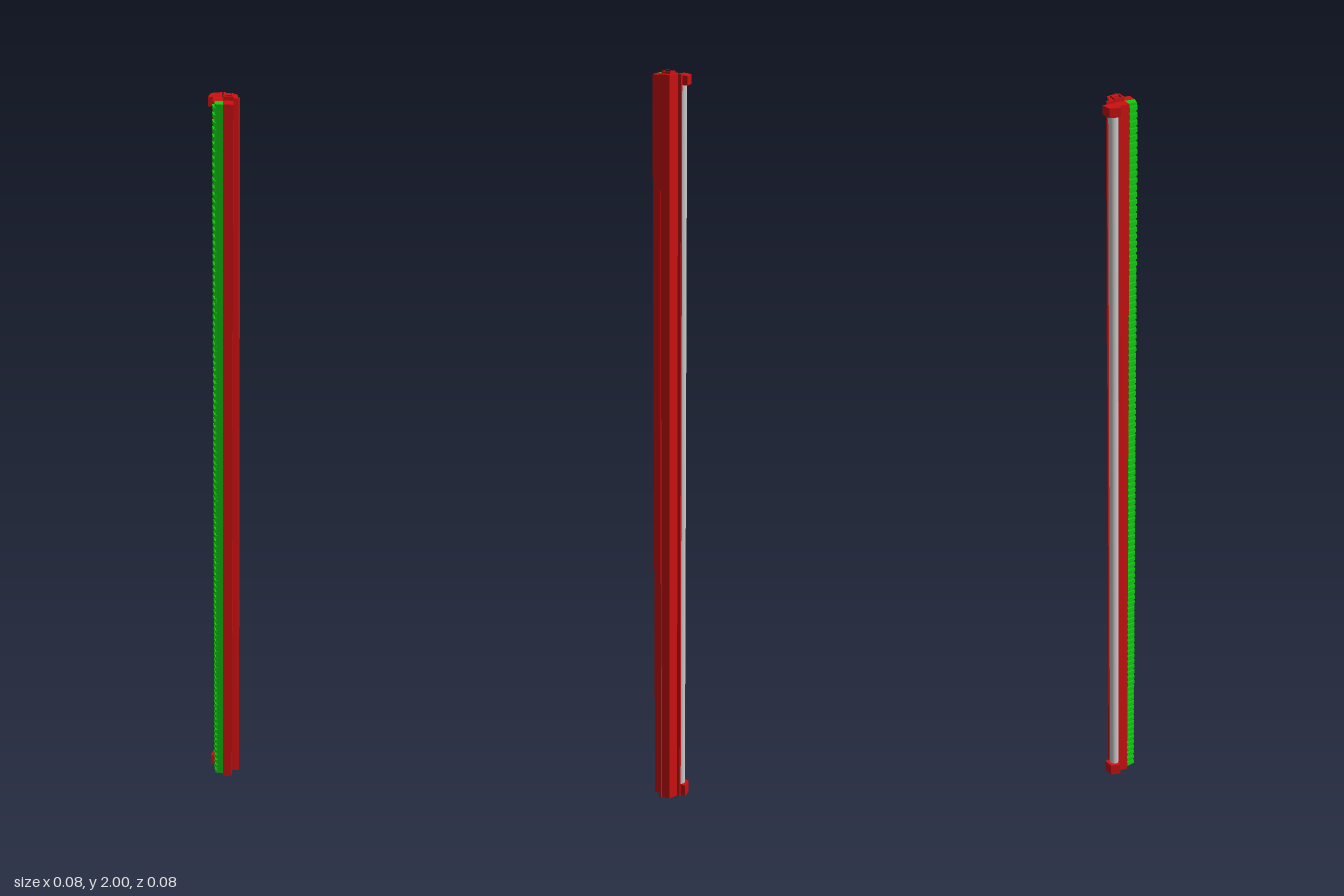
import * as THREE from 'three';
import { mergeGeometries } from 'three/addons/utils/BufferGeometryUtils.js';

const red = new THREE.MeshStandardMaterial({ color: 0xcc1111 });
const green = new THREE.MeshStandardMaterial({ color: 0x11cc11 });
const grey = new THREE.MeshStandardMaterial({ color: 0xcccccc });

// Vertical prism over a floor plan of [x, z] points, from y0 to y1
function prism(plan, y0, y1, hole) {
  const toShape = (pts) => pts.map(([x, z]) => new THREE.Vector2(x, -z));
  const shape = new THREE.Shape(toShape(plan));
  if (hole) shape.holes.push(new THREE.Path(toShape(hole)));
  const geo = new THREE.ExtrudeGeometry(shape, { depth: y1 - y0, bevelEnabled: false });
  return geo.rotateX(-Math.PI / 2).translate(0, y0, 0);
}

const rect = (x0, x1, z0, z1) => [[x0, z0], [x1, z0], [x1, z1], [x0, z1]];

export function createModel() {
  const group = new THREE.Group();
  const add = (name, geo, material) => {
    const mesh = new THREE.Mesh(geo, material);
    mesh.name = name;
    group.add(mesh);
  };

  // Square profiles standing side by side
  add('leftColumn', prism(rect(-0.029, -0.005, -0.011, 0.016), 0, 1.99), red);
  add('frontColumn', prism(rect(-0.005, 0.019, 0.014, 0.04), 0, 1.99), red);

  // Hollow square tube with a square core
  add('centreTube', prism(rect(-0.005, 0.019, -0.011, 0.014), 0, 2, rect(-0.001, 0.015, -0.007, 0.01)), red);
  add('tubeCore', prism(rect(0.002, 0.012, -0.004, 0.007), 0, 1.995), red);

  // Slanted shell wrapping the back and outer side of the tube
  const shell = [
    [-0.004, -0.022], [0.027, -0.015], [0.031, 0.012], [0.019, 0.014],
    [0.019, -0.011], [-0.005, -0.011],
  ];
  add('cornerShell', prism(shell, 0, 1.995), red);
  add('backFin', prism(rect(-0.005, 0, -0.03, -0.02), 0, 1.995), red);

  // Side fin whose outer edge leans in towards the top
  const fin = prism([[0.029, 0.009], [0.039, 0.006], [0.039, 0.012], [0.029, 0.014]], 0, 1.995);
  const p = fin.attributes.position;
  for (let i = 0; i < p.count; i++) {
    if (p.getX(i) > 0.035) p.setX(i, 0.039 - 0.0025 * p.getY(i));
  }
  fin.computeVertexNormals();
  add('sideFin', fin, red);

  // Green strip with a row of fine teeth
  add('strip', prism([[-0.025, 0.016], [-0.005, 0.016], [-0.005, 0.041], [-0.024, 0.037]], 0.01, 1.99), green);
  const teeth = [];
  const pitch = 0.018;
  for (let i = 0; i < 110; i++) {
    const y = 0.01 + i * pitch;
    teeth.push(prism([[-0.031, 0.016], [-0.02, 0.016], [-0.02, 0.039], [-0.027, 0.038]], y, y + pitch * 0.6));
  }
  add('stripTeeth', mergeGeometries(teeth), green);

  // Grey rod held between two end caps
  const rod = new THREE.CylinderGeometry(0.012, 0.012, 1.95, 24);
  rod.translate(-0.019, 0.995, -0.02);
  add('rod', rod, grey);
  const cap = [[-0.041, -0.011], [-0.034, -0.037], [-0.008, -0.043], [-0.008, -0.011]];
  add('bottomCap', prism(cap, 0, 0.033), red);
  add('topCap', prism(cap, 1.967, 1.99), red);

  return group;
}
